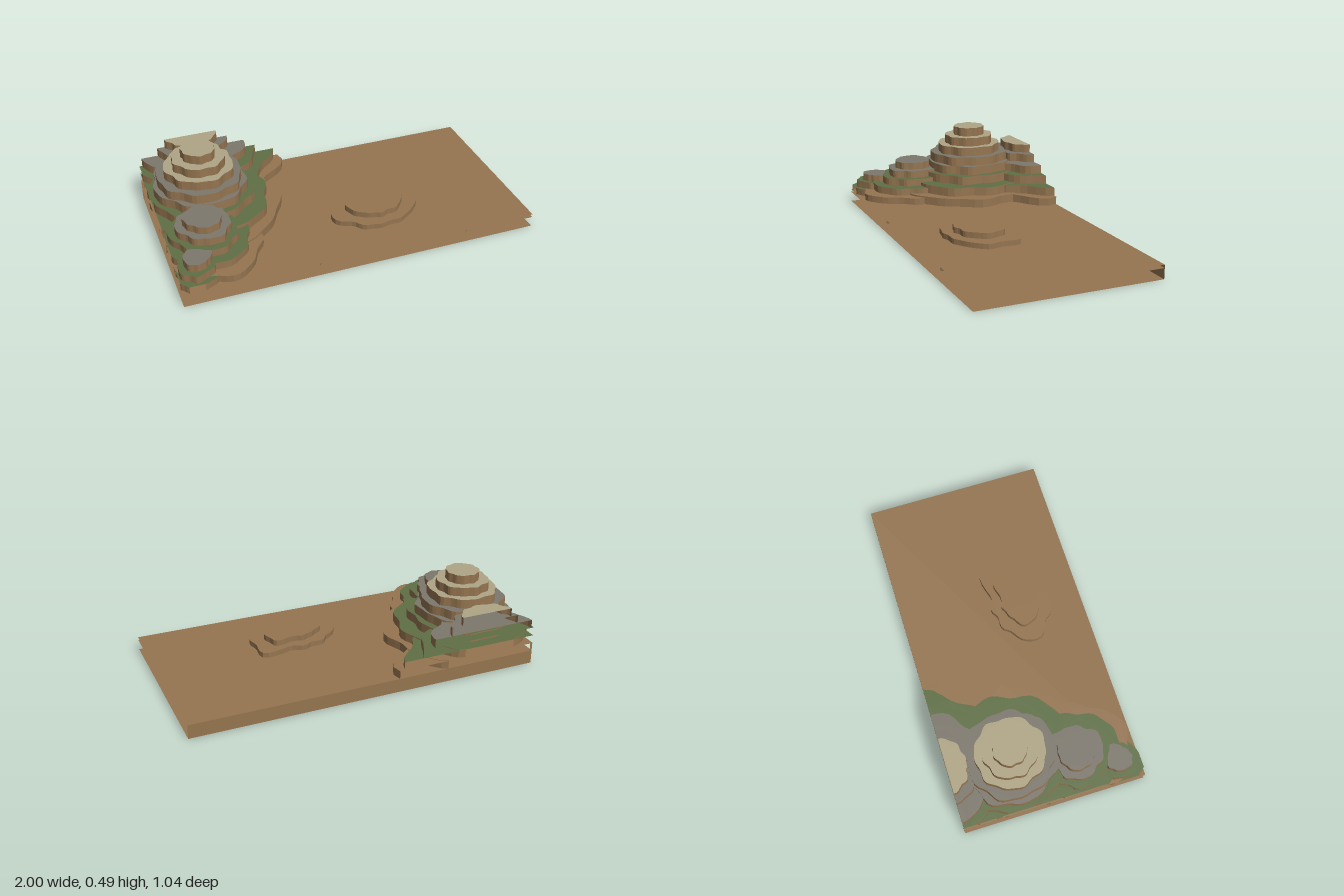
import * as THREE from 'three';

const HX = 1, HZ = 0.52, GROUND = 0.078;

function material(name, color) {
  const m = new THREE.MeshStandardMaterial({ color, side: THREE.DoubleSide, flatShading: true });
  m.name = name;
  return m;
}

// Each hill: centre, step height, foot radii at equal angles from +x towards +z,
// size of each level relative to the foot, and cap colours
// (b brown, g green, s stone, t tan).
const HILLS = [
  { name: 'mainPeak', x: -0.72, z: -0.18, step: 0.0515, caps: 'bggssttt',
    foot: [.42, .44, .45, .45, .44, .45, .46, .44, .43, .43],
    scales: [1, .85, .66, .58, .53, .43, .33, .21] },
  { name: 'backPeak', x: -0.70, z: -0.52, step: 0.049, caps: 'bggsst',
    foot: [.53, .44, .36, .35, .40, .45, .4, .4, .4, .45],
    scales: [1, .91, .75, .62, .42, .31] },
  { name: 'frontHill', x: -0.80, z: 0.17, step: 0.042, caps: 'bggss',
    foot: [.30, .31, .34, .31, .29, .31, .30, .28, .29, .32],
    scales: [1, .8, .6, .48, .34] },
  { name: 'cornerHill', x: -0.88, z: 0.38, step: 0.0417, caps: 'ggs',
    foot: [.14, .12, .13, .16, .16, .14, .13, .12, .13, .13],
    scales: [1, .78, .55] },
  { name: 'lowMound', x: 0.19, z: 0.165, step: 0.0325, caps: 'bb',
    foot: [.24, .20, .17, .18, .21, .27, .20, .17, .16, .27],
    scales: [1, .66] },
];

const clamp = (v, h) => Math.max(-h, Math.min(h, v));

// Lobed contour around a hill, cut off at the edges of the board
function contour(hill, level) {
  const points = [], sides = 60, n = hill.foot.length;
  for (let i = 0; i < sides; i++) {
    const u = i / sides * n, k = Math.floor(u);
    const blend = THREE.MathUtils.smoothstep(u - k, 0, 1);
    const radius = THREE.MathUtils.lerp(hill.foot[k], hill.foot[(k + 1) % n], blend);
    const a = i / sides * Math.PI * 2;
    const wave = 1 + 0.03 * Math.sin(7 * a + level * 2.1) + 0.022 * Math.sin(11 * a + level * 1.3 + hill.x * 9);
    const r = radius * hill.scales[level] * wave;
    points.push(new THREE.Vector2(
      clamp(hill.x + r * Math.cos(a), HX),
      clamp(hill.z + r * Math.sin(a), HZ)));
  }
  return points.filter((p, i) => p.distanceTo(points[(i + 1) % sides]) > 1e-5);
}

// Flat sheet bounded by (x, z) points
function sheet(points, y) {
  const shape = new THREE.Shape(points.map(p => new THREE.Vector2(p.x, -p.y)));
  return new THREE.ShapeGeometry(shape).rotateX(-Math.PI / 2).translate(0, y, 0);
}

// Vertical wall along (x, z) points; a closed one stays open along the board's edges
function wall(points, y0, y1, closed) {
  const v = [];
  const count = closed ? points.length : points.length - 1;
  for (let i = 0; i < count; i++) {
    const a = points[i], b = points[(i + 1) % points.length];
    const onEdge = (Math.abs(a.x) === HX && a.x === b.x) || (Math.abs(a.y) === HZ && a.y === b.y);
    if (closed && onEdge) continue;
    v.push(a.x, y0, a.y, a.x, y1, a.y, b.x, y1, b.y);
    v.push(a.x, y0, a.y, b.x, y1, b.y, b.x, y0, b.y);
  }
  const g = new THREE.BufferGeometry();
  g.setAttribute('position', new THREE.Float32BufferAttribute(v, 3));
  g.computeVertexNormals();
  return g;
}

export function createModel() {
  const model = new THREE.Group();
  model.name = 'terracedLandscape';
  const mats = {
    b: material('earth brown', 0x957550),
    g: material('grass green', 0x5f7045),
    s: material('stone grey', 0x7d786d),
    t: material('summit tan', 0xb0a585),
  };
  const add = (parent, geometry, mat, name) => {
    const mesh = new THREE.Mesh(geometry, mat);
    mesh.name = name;
    parent.add(mesh);
  };

  // Base board: stacked sheets with open sides and a single back wall
  const base = new THREE.Group();
  base.name = 'base';
  model.add(base);
  const corners = [[-HX, -HZ], [HX, -HZ], [HX, HZ], [-HX, HZ]].map(c => new THREE.Vector2(...c));
  add(base, sheet(corners, 0), mats.b, 'bottomSheet');
  add(base, sheet(corners, 0.06), mats.b, 'lowerSheet');
  add(base, sheet(corners, GROUND), mats.b, 'groundSheet');
  add(base, wall(corners.slice(0, 2), 0, GROUND, false), mats.b, 'backWall');

  // Shallow winding steps between the two upper sheets
  for (const x0 of [-0.35, 0.6]) {
    const line = [];
    for (let i = 0; i <= 40; i++) {
      const z = -HZ + i / 40 * HZ * 2;
      line.push(new THREE.Vector2(x0 + 0.12 * Math.sin(z * 5 + x0) + 0.03 * Math.sin(z * 19), z));
    }
    add(base, wall(line, 0.06, GROUND - 0.002, false), mats.b, 'buriedStep');
  }

  // Terraced hills: a brown wall and a coloured cap for every level
  for (const hill of HILLS) {
    const group = new THREE.Group();
    group.name = hill.name;
    model.add(group);
    hill.scales.forEach((_, level) => {
      const points = contour(hill, level);
      const y = 0.075 + hill.step * level;
      add(group, wall(points, y, y + hill.step, true), mats.b, 'terraceWall');
      add(group, sheet(points, y + hill.step), mats[hill.caps[level]], 'terraceCap');
    });
  }
  return model;
}
